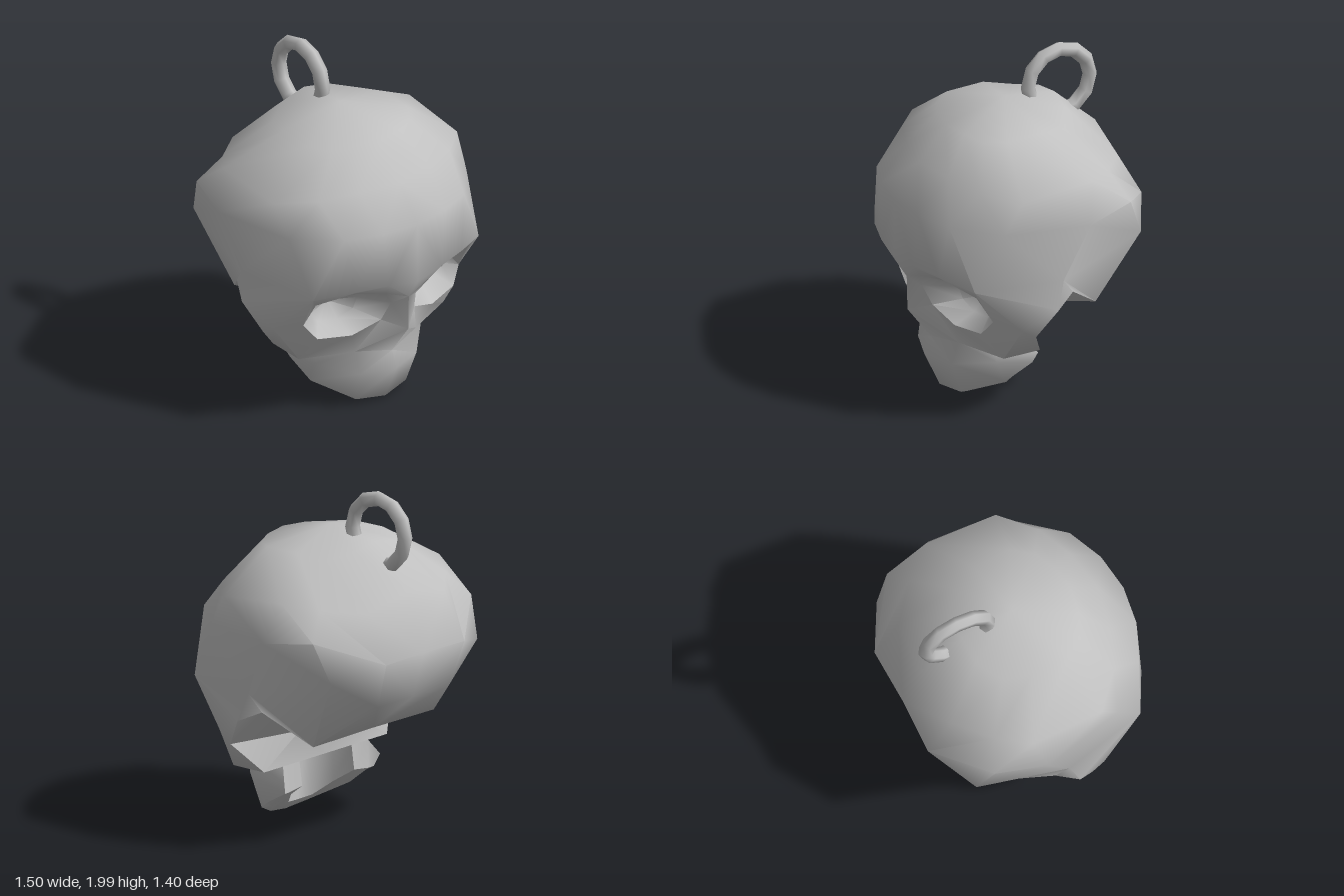
import * as THREE from 'three';
import { toCreasedNormals } from 'three/addons/utils/BufferGeometryUtils.js';

const V = (p) => new THREE.Vector3(...p);

// Collects polygons of the left half, turns each away from (or towards) a point, and mirrors it.
function halfBuilder() {
  const pos = [];
  const face = (pts, ref, towards = false) => {
    for (let i = 1; i < pts.length - 1; i++) {
      let t = [pts[0], pts[i], pts[i + 1]];
      const [a, b, c] = t.map(V);
      const n = b.clone().sub(a).cross(c.clone().sub(a));
      if (n.length() < 1e-7) continue;
      const mid = a.add(b).add(c).divideScalar(3);
      const away = n.dot(mid.sub(V(ref))) > 0;
      if (away === towards) t = [t[0], t[2], t[1]];
      for (const p of t) pos.push(...p);
      for (const p of [t[0], t[2], t[1]]) pos.push(-p[0], p[1], p[2]);
    }
  };
  const strip = (a, b, ref, towards) => {
    for (let i = 0; i < a.length - 1; i++) face([a[i], a[i + 1], b[i + 1], b[i]], ref, towards);
  };
  const build = (crease) => {
    const g = new THREE.BufferGeometry();
    g.setAttribute('position', new THREE.Float32BufferAttribute(pos, 3));
    return toCreasedNormals(g, crease);
  };
  return { face, strip, build };
}

function skullGeometry() {
  const { face, strip, build } = halfBuilder();

  // Cranium rings, each from front centre round the side to back centre
  const crown = [[0, 1.66, .37], [.16, 1.655, .34], [.28, 1.645, .28], [.36, 1.655, .17],
    [.36, 1.66, -.06], [.31, 1.63, -.22], [.16, 1.67, -.31], [0, 1.7, -.32]];
  const upper = [[0, 1.46, .54], [.25, 1.46, .49], [.47, 1.44, .4], [.66, 1.42, .23],
    [.67, 1.46, -.21], [.53, 1.42, -.38], [.33, 1.39, -.55], [0, 1.46, -.58]];
  const widest = [[0, 1.26, .7], [.22, 1.26, .67], [.43, 1.25, .58], [.64, 1.23, .34],
    [.75, 1.23, -.15], [.67, 1.27, -.45], [.33, 1.12, -.7], [0, 1.12, -.69]];
  const brow = [[0, .89, .7], [.19, .92, .68], [.38, .92, .62], [.595, .89, .505], [.71, .9, 0]];
  const core = [0, 1.05, 0];
  for (let i = 0; i < 7; i++) face([[0, 1.75, 0], crown[i], crown[i + 1]], core);
  strip(crown, upper, core);
  strip(upper, widest, core);
  strip(widest.slice(0, 5), brow, core);

  // Rear flank, nape and flat base
  const tip = [.68, .8, -.075], flank = [.62, 1.04, -.54], nape = [.3, .85, -.61], napeMid = [0, .85, -.61];
  const baseFront = [.22, .57, .05], baseRear = [.51, .605, -.31], baseMid = [0, .61, -.31];
  face([widest[4], widest[5], flank, brow[4]], core);
  face([flank, widest[5], widest[6], nape], core);
  face([widest[6], widest[7], napeMid, nape], core);
  face([brow[4], flank, baseRear, tip], core);
  face([flank, nape, baseRear], core);
  face([nape, napeMid, baseMid, baseRear], core);
  face([tip, baseRear, baseFront], core);
  face([baseFront, baseRear, baseMid, [0, .57, .05]], core);

  // Eye rim and the brow, nose and cheek points around it
  const rim = [[.55, .83, .47], [.36, .88, .57], [.17, .84, .62], [.09, .73, .57],
    [.12, .61, .52], [.29, .545, .47], [.49, .565, .41], [.56, .66, .37]];
  const noseTop = [0, .76, .62], nose = [0, .55, .615], lip = [0, .35, .47];
  const underEye = [.22, .39, .41], cheekLow = [.52, .39, .28], cheek = [.67, .62, .24];
  const frame = [brow[3], brow[2], brow[1], noseTop, nose, underEye, cheekLow, cheek];
  const loop = (a) => [...a, a[0]];
  strip(loop(rim), loop(frame), [.25, .75, -.2]);
  face([brow[1], brow[0], noseTop], core);
  face([nose, underEye, lip], [0, .6, 0]);

  // Hollow eye socket, a shallow bowl
  const inner = rim.map(([x, y, z]) => [x * .6 + .132, y * .6 + .284, z * .35 + .19]);
  const open = [.33, .72, .7];
  strip(loop(rim), loop(inner), open, true);
  strip(loop(inner), loop(inner).map(() => [.33, .71, .29]), open, true);

  // Cheekbone with its pointed rear edge
  const out = [.745, .74, .05], notch = [.68, .57, .16], hinge = [.52, .39, .05];
  const mid = [.4, .7, .2];
  face([brow[3], cheek, out], mid);
  face([brow[3], out, brow[4]], mid);
  face([brow[4], out, tip], mid);
  face([cheek, notch, out], mid);
  face([cheek, cheekLow, hinge, notch], mid);

  // Hollowed back of the face
  const wallRef = [.4, .6, .5];
  face([tip, out, notch], wallRef);
  face([tip, notch, baseFront], wallRef);
  face([notch, hinge, baseFront], wallRef);
  face([baseFront, hinge, [0, .39, .05], [0, .57, .05]], wallRef);

  // Lines along the jaw from chin to hinge, the first shared with the face
  const jaw = [
    [lip, underEye, [.36, .39, .26], [.36, .39, .05]],
    [[0, .25, .51], [.2, .25, .44], [.385, .3, .25], [.405, .31, 0]],
    [[0, .03, .41], [.18, .05, .37], [.355, .15, .18], [.375, .24, .02]],
    [[0, .01, .35], [.16, .035, .32], [.33, .13, .16], [.34, .235, .03]],
    [[0, .08, .26], [.1, .09, .24], [.18, .17, .15], [.22, .25, .03]],
    [[0, .39, .3], [.1, .39, .28], [.18, .39, .16], [.22, .39, .05]],
  ];
  const jawCore = [0, .22, .08];
  strip(jaw[0], jaw[1], jawCore);
  strip(jaw[1], jaw[2], jawCore);
  strip(jaw[2], jaw[3], [0, .6, .2]);
  strip(jaw[3], jaw[4], [0, .6, .3]);
  strip(jaw[4], jaw[5], jawCore, true);
  face(jaw.map((line) => line[3]), [.3, .28, .4]);

  // Underside of the cheeks and roof of the mouth
  const above = [.3, .9, .1];
  face([underEye, cheekLow, jaw[0][2]], above);
  face([cheekLow, hinge, jaw[0][3], jaw[0][2]], above);
  face([[0, .39, .05], ...jaw[5]], above);
  return build(1.0);
}

export function createModel() {
  const model = new THREE.Group();
  const grey = new THREE.MeshStandardMaterial({ color: 0xc0c0c0 });
  grey.name = 'bone grey';
  const add = (name, geometry) => {
    const mesh = new THREE.Mesh(geometry, grey);
    mesh.name = name;
    model.add(mesh);
    return mesh;
  };
  add('skullAndJaw', skullGeometry());

  // Hanging ring sunk into the back of the crown
  const ring = add('hangingRing', new THREE.TorusGeometry(.197, .044, 6, 12));
  ring.rotation.y = Math.PI / 2;
  ring.position.set(0, 1.76, -.35);
  return model;
}
